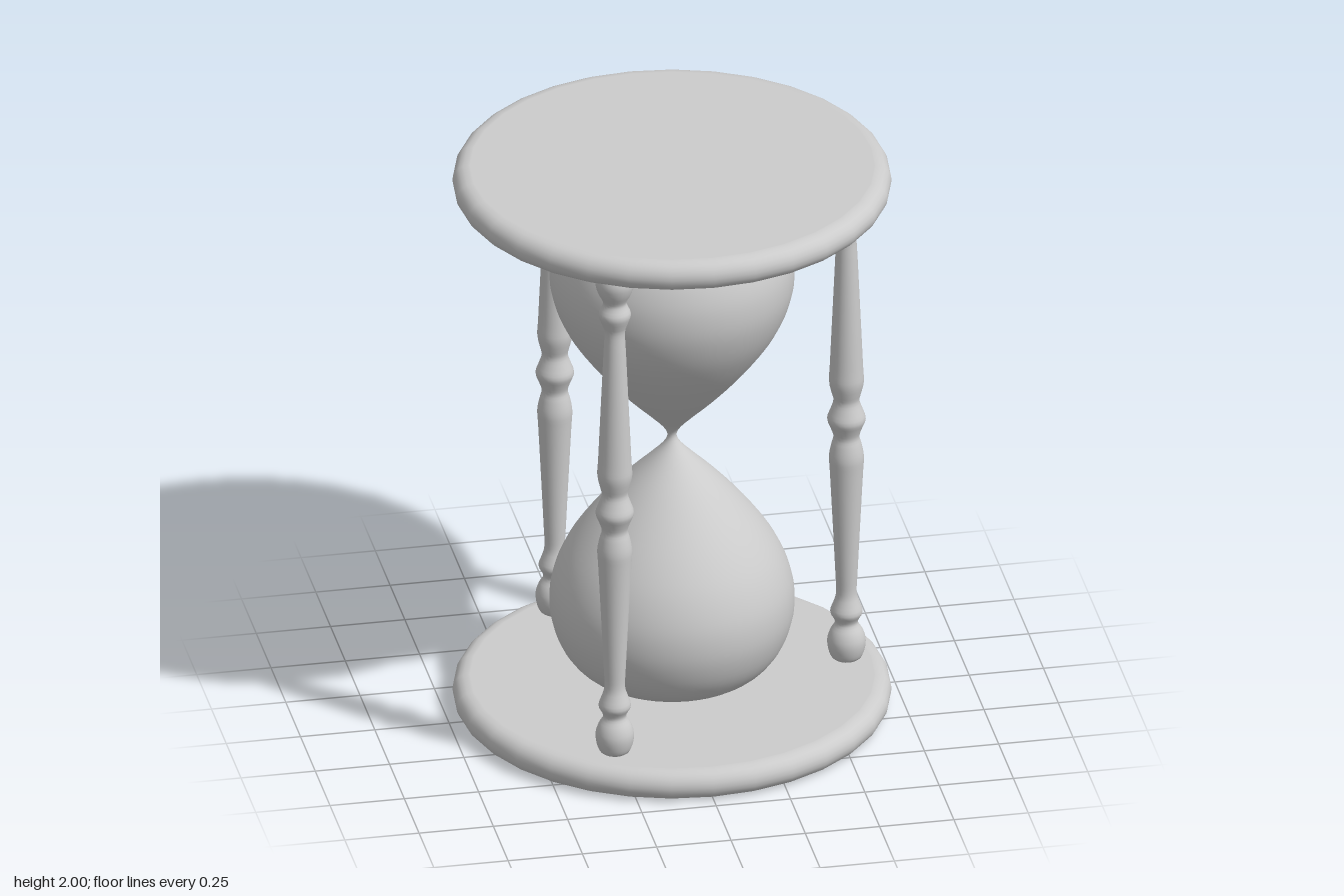
import * as THREE from 'three';

const material = new THREE.MeshStandardMaterial({ color: 0xcccccc });

// Revolve a profile of [radius, height] points, optionally smoothed by a spline.
function turned(name, profile, sides, samples = 0) {
  let points = profile.map(([r, y]) => new THREE.Vector2(r, y));
  if (samples) points = new THREE.SplineCurve(points).getPoints(samples);
  points.forEach((p) => { p.x = Math.max(p.x, 0); });
  const mesh = new THREE.Mesh(new THREE.LatheGeometry(points, sides), material);
  mesh.name = name;
  return mesh;
}

// Disc with a half-round rim
function plate(name, y) {
  const radius = 0.725, half = 0.0525;
  const profile = [[0, -half]];
  for (let i = 0; i <= 10; i++) {
    const a = -Math.PI / 2 + (i / 10) * Math.PI;
    profile.push([radius - half + half * Math.cos(a), half * Math.sin(a)]);
  }
  profile.push([0, half]);
  // Doubled points beside the rim keep the faces flat
  profile.splice(1, 0, [radius - half - 0.005, -half]);
  profile.splice(profile.length - 1, 0, [radius - half - 0.005, half]);
  const mesh = turned(name, profile, 32);
  mesh.position.y = y;
  return mesh;
}

export function createModel() {
  const model = new THREE.Group();
  model.name = 'hourglass';

  model.add(plate('bottomPlate', 0.0525), plate('topPlate', 1.9475));

  // Glass: lower half of the profile, mirrored about the neck
  const lower = [
    [0, 0.107], [0.12, 0.11], [0.23, 0.127], [0.31, 0.168], [0.365, 0.235],
    [0.397, 0.32], [0.405, 0.4], [0.394, 0.48], [0.36, 0.57], [0.305, 0.66],
    [0.235, 0.75], [0.155, 0.84], [0.075, 0.92], [0.03, 0.968],
  ];
  const upper = lower.map(([r, y]) => [r, 2 - y]).reverse();
  model.add(turned('glassBulbs', [...lower, [0.015, 1], ...upper], 48, 96));

  // Three turned posts
  const post = [
    [0, 0.108], [0.042, 0.11], [0.058, 0.135], [0.064, 0.175], [0.055, 0.21],
    [0.039, 0.238], [0.042, 0.257], [0.054, 0.283], [0.042, 0.32], [0.034, 0.355],
    [0.037, 0.43], [0.046, 0.62], [0.055, 0.8], [0.058, 0.86], [0.05, 0.905],
    [0.043, 0.935], [0.053, 0.968], [0.064, 1.0], [0.053, 1.035], [0.043, 1.068],
    [0.05, 1.1], [0.058, 1.14], [0.055, 1.2], [0.046, 1.4], [0.037, 1.6],
    [0.034, 1.67], [0.042, 1.7], [0.054, 1.738], [0.042, 1.768], [0.04, 1.787],
    [0.056, 1.82], [0.065, 1.855], [0.06, 1.885], [0.048, 1.897], [0, 1.898],
  ];
  for (let i = 0; i < 3; i++) {
    const a = (i * 2 * Math.PI) / 3;
    const mesh = turned(`post${i + 1}`, post, 24, 102);
    mesh.position.set(0.587 * Math.cos(a), 0, 0.587 * Math.sin(a));
    model.add(mesh);
  }
  return model;
}
